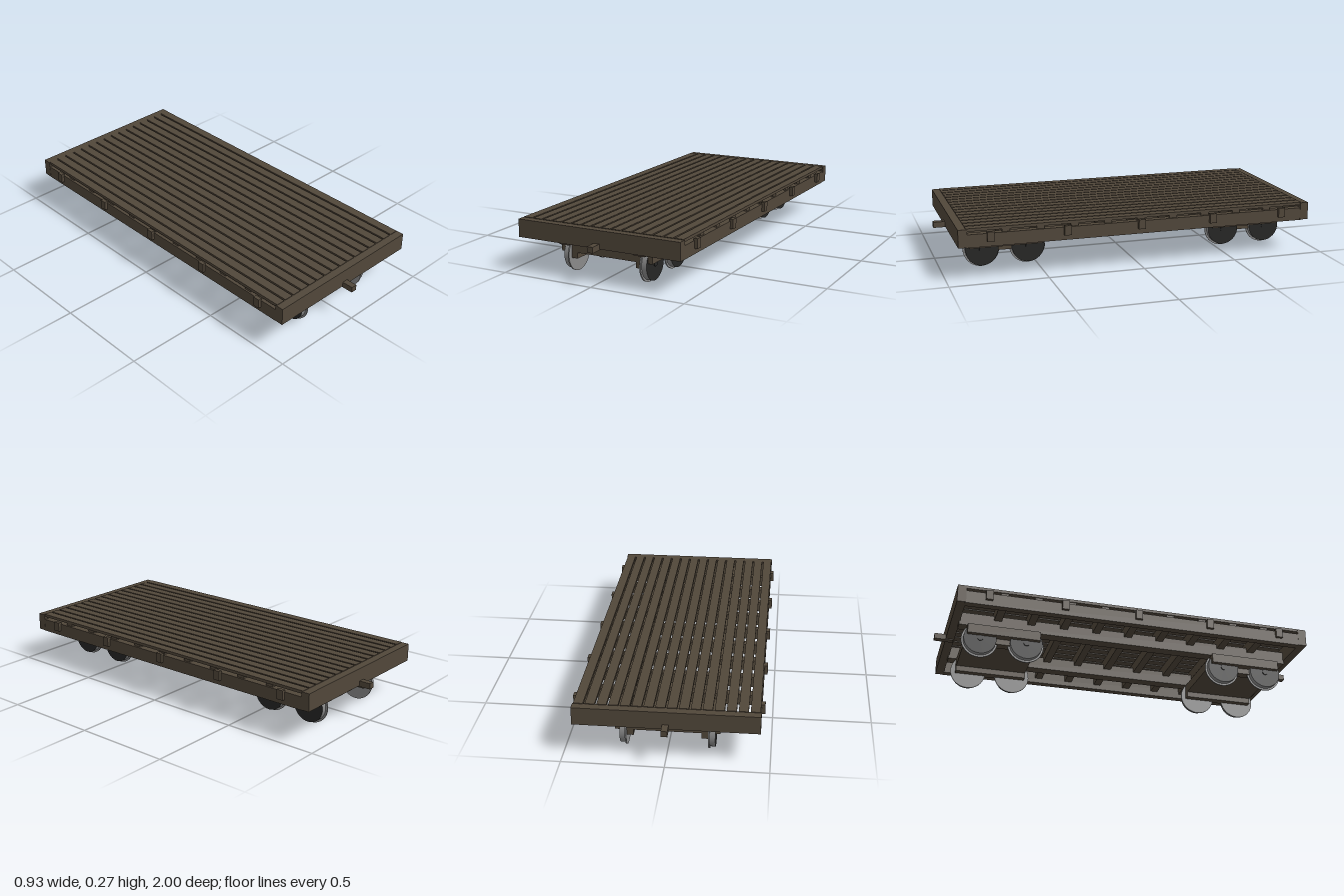
import * as THREE from 'three';

export function createModel() {
  const root = new THREE.Group();
  root.name = 'flatWagon';
  const mat = (name, color) => Object.assign(new THREE.MeshStandardMaterial({ color }), { name });
  const wood = mat('weatheredWood', 0x51473a);
  const steel = mat('wheelSteel', 0x8a8a8a);
  const dark = mat('darkIron', 0x262625);

  // Box given by its min and max on each axis
  const box = (parent, name, x0, x1, y0, y1, z0, z1) => {
    const m = new THREE.Mesh(new THREE.BoxGeometry(x1 - x0, y1 - y0, z1 - z0), wood);
    m.position.set((x0 + x1) / 2, (y0 + y1) / 2, (z0 + z1) / 2);
    m.name = name;
    parent.add(m);
    return m;
  };

  // Deck planks running lengthwise with narrow gaps
  const pitch = 0.9 / 16;
  for (let i = 0; i < 16; i++) {
    const x = -0.45 + pitch * (i + 0.5);
    box(root, 'deckPlank', x - 0.0235, x + 0.0235, 0.255, 0.27, -0.9, 0.9);
  }

  // Cross beams under the planks
  for (let i = -4; i <= 4; i++) {
    const z = i * 0.175;
    box(root, 'crossBeam', -0.44, 0.44, 0.2, 0.255, z - 0.02, z + 0.02);
  }

  // Side sills, inner sills and stake pockets
  for (const s of [-1, 1]) {
    const side = (name, a, b, ...r) => box(root, name, Math.min(s * a, s * b), Math.max(s * a, s * b), ...r);
    side('sideSill', 0.41, 0.449, 0.173, 0.24, -0.9, 0.9);
    side('innerSill', 0.18, 0.24, 0.156, 0.225, -0.9, 0.9);
    for (let i = -2; i <= 2; i++) {
      side('stakePocket', 0.445, 0.465, 0.2, 0.25, i * 0.39 - 0.018, i * 0.39 + 0.018);
    }
  }

  // End beams and couplers
  for (const s of [-1, 1]) {
    box(root, 'endBeam', -0.45, 0.45, 0.175, 0.267, -0.0225, 0.0225).position.z = s * 0.9175;
    box(root, 'coupler', -0.016, 0.016, 0.17, 0.2, -0.05, 0.05).position.z = s * 0.95;
  }

  // Wheel: dark outer face, steel tread and inner flange; axis along x, outside towards +x
  const cyl = (r, len, x, name, m) => {
    const g = new THREE.CylinderGeometry(r, r, len, 40);
    g.rotateZ(-Math.PI / 2);
    g.translate(x, 0, 0);
    const mesh = new THREE.Mesh(g, m);
    mesh.name = name;
    return mesh;
  };
  const makeWheel = () => {
    const w = new THREE.Group();
    w.name = 'wheel';
    w.add(
      cyl(0.085, 0.028, 0.218, 'wheelTread', [steel, dark, steel]),
      cyl(0.095, 0.007, 0.2015, 'wheelFlange', steel),
      cyl(0.015, 0.006, 0.234, 'wheelHub', dark)
    );
    return w;
  };

  // Bogies: frame, axle beams and four wheels each
  for (const s of [-1, 1]) {
    const bogie = new THREE.Group();
    bogie.name = 'bogie';
    bogie.position.z = s * 0.665;
    box(bogie, 'bogieFrame', -0.255, 0.255, 0.11, 0.16, -0.19, 0.19);
    for (const k of [-1, 1]) {
      box(bogie, 'axleBeam', -0.024, 0.024, 0.08, 0.11, -0.19, 0.19).position.x = k * 0.189;
      for (const z of [-0.121, 0.121]) {
        const w = makeWheel();
        w.position.set(0, 0.095, z);
        if (k < 0) w.rotation.y = Math.PI;
        bogie.add(w);
      }
    }
    root.add(bogie);
  }
  return root;
}
